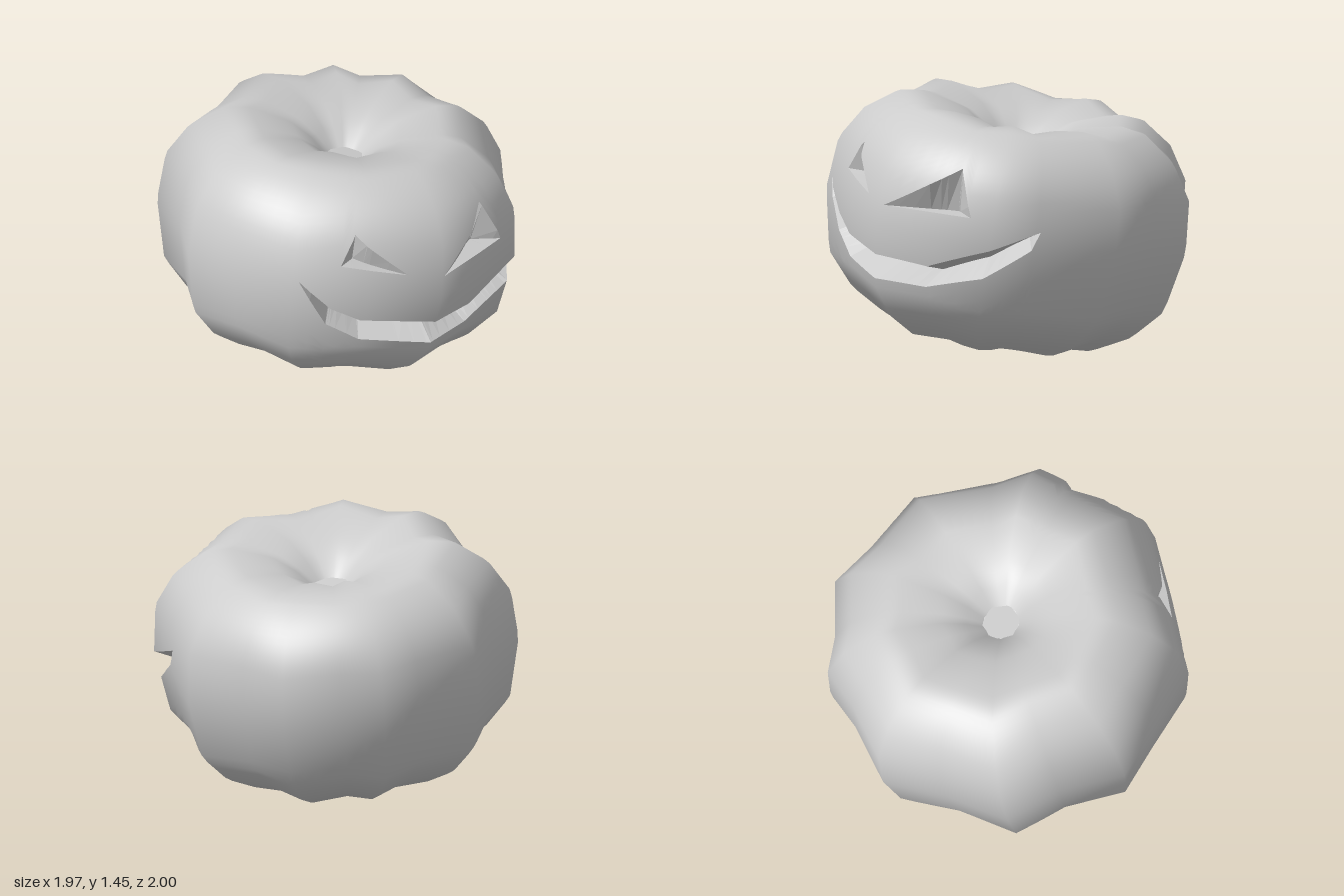
import * as THREE from 'three';

// Plan outline [x, z] round the core: lobe crests (even) and grooves (odd)
const PLAN = [
  [0.98, -0.25], [0.955, 0.08], [0.92, 0.44], [0.61, 0.7], [0.26, 0.97], [-0.12, 0.94],
  [-0.43, 0.91], [-0.66, 0.62], [-0.92, 0.42], [-0.93, 0.04], [-0.98, -0.32], [-0.75, -0.6],
  [-0.62, -0.82], [-0.4, -0.88], [-0.1, -1.03], [0.18, -0.93], [0.54, -0.84], [0.8, -0.45],
];
// Side profile rows: [radius factor, height from the middle, groove offset]
const PROFILE = [
  [0, -0.6, 0], [0.3, -0.63, 0], [0.57, -0.636, 0.02], [0.78, -0.515, 0.025], [0.936, -0.335, 0.015],
  [1.005, 0.02, 0], [0.98, 0.31, 0], [0.865, 0.5, -0.015], [0.69, 0.63, -0.035],
  [0.552, 0.65, -0.045], [0.32, 0.595, -0.035], [0.19, 0.51, -0.02], [0.1, 0.42, 0],
];
// Carved outlines: [azimuth in degrees from +x to +z, height]
const MOUTH_LOW = [[-31, 0.8], [-28.5, 0.7], [-13.4, 0.55], [6.8, 0.48], [26.8, 0.51], [50.8, 0.57], [63.2, 0.69], [72.9, 0.98]];
const MOUTH_UP = [[-31, 0.8], [6.8, 0.6], [28.3, 0.655], [51.1, 0.7], [61.7, 0.79], [72.9, 0.98]];
const EYE_LOW = [[-6.7, 0.89], [24.4, 0.93], [36.1, 0.965], [59.6, 1.05]];
const EYE_UP = [[-6.7, 0.89], [0.5, 1.15], [24.4, 0.93], [36.1, 0.965], [55.3, 1.21], [59.6, 1.05]];

const N = PLAN.length, M = PROFILE.length;

// The pumpkin leans back on its base
const tilt = (g) => g.rotateX(-0.161).translate(0, 0.73, 0.03);

// Coarse lobed grid whose smooth normals are shared by the finer skin
function makeBase() {
  const pos = [], idx = [];
  PLAN.forEach(([x, z], i) => PROFILE.forEach(([r, h, groove], j) => {
    pos.push(x * r, h + (i % 2) * groove, z * r);
    if (j < M - 1) {
      const a = i * M + j, b = ((i + 1) % N) * M + j;
      idx.push(a, a + 1, b, b, a + 1, b + 1);
    }
  }));
  const g = new THREE.BufferGeometry();
  g.setAttribute('position', new THREE.Float32BufferAttribute(pos, 3));
  g.setIndex(idx);
  g.computeVertexNormals();
  return tilt(g);
}

// Bilinear sample of an attribute at column u, row v
function sample(attr, u, v) {
  const i = Math.floor(u) % N, j = Math.min(Math.floor(v), M - 2);
  const s = u - Math.floor(u), t = v - j;
  const at = (c, r) => new THREE.Vector3().fromBufferAttribute(attr, (c % N) * M + r);
  return at(i, j).lerp(at(i + 1, j), s).lerp(at(i, j + 1).lerp(at(i + 1, j + 1), s), t);
}

// Column position where a ray at this azimuth crosses the plan outline
function columnAt(deg) {
  const a = THREE.MathUtils.degToRad(deg), dx = Math.cos(a), dz = Math.sin(a);
  for (let i = 0; i < N; i++) {
    const A = PLAN[i], B = PLAN[(i + 1) % N];
    const ca = A[0] * dz - A[1] * dx, cb = B[0] * dz - B[1] * dx;
    if (ca >= 0 && cb < 0 && A[0] * dx + A[1] * dz > 0) return i + ca / (ca - cb);
  }
  return 0;
}

// Azimuth of a column on the plan outline
function azimuthOf(u) {
  const i = Math.floor(u), s = u - i, A = PLAN[i], B = PLAN[(i + 1) % N];
  const { lerp, radToDeg } = THREE.MathUtils;
  return radToDeg(Math.atan2(lerp(A[1], B[1], s), lerp(A[0], B[0], s)));
}

// Height of a carved outline at an azimuth, wrapping round the back
function heightAt(line, deg) {
  const first = line[0][0];
  const a = THREE.MathUtils.euclideanModulo(deg - first, 360) + first;
  const pts = [...line, [first + 360, line[0][1]]];
  const k = Math.max(1, pts.findIndex((p) => p[0] >= a));
  const [p, q] = [pts[k - 1], pts[k]];
  return p[1] + (q[1] - p[1]) * (a - p[0]) / (q[0] - p[0]);
}

export function createModel() {
  const group = new THREE.Group();
  group.name = 'carvedPumpkin';
  const material = new THREE.MeshStandardMaterial({ color: 0xcccccc, side: THREE.DoubleSide });
  material.name = 'paleGrey';
  const base = makeBase();
  const P = base.attributes.position, NM = base.attributes.normal;

  const rowAt = (u, y) => {
    let lo = 2, hi = 8;
    for (let k = 0; k < 30; k++) {
      const mid = (lo + hi) / 2;
      if (sample(P, u, mid).y < y) lo = mid; else hi = mid;
    }
    return (lo + hi) / 2;
  };

  // Columns: even steps plus every carved corner
  const us = [];
  for (let i = 0; i < N * 4; i++) us.push(i / 4);
  [MOUTH_LOW, MOUTH_UP, EYE_LOW, EYE_UP].forEach((l) => l.forEach(([a]) => us.push(columnAt(a))));
  us.sort((a, b) => a - b);
  const columns = us.filter((u, i) => i === 0 || u - us[i - 1] > 1e-5).map((u) => {
    const deg = azimuthOf(u);
    const rows = [MOUTH_LOW, MOUTH_UP, EYE_LOW, EYE_UP].map((l) => rowAt(u, heightAt(l, deg)));
    rows[1] = Math.max(rows[0], rows[1]);
    rows[3] = Math.max(rows[2], rows[3]);
    return { u, v: [0, ...rows, M - 1] };
  });
  columns.push(columns[0]);

  // Skin in three bands: below the mouth, between mouth and eyes, above the eyes
  const bands = [['lowerBody', 0, 24], ['middleBody', 2, 12], ['upperBody', 4, 30]];
  for (const [name, b, steps] of bands) {
    const pos = [], nor = [], idx = [];
    columns.forEach(({ u, v }, i) => {
      for (let j = 0; j <= steps; j++) {
        const row = v[b] + (v[b + 1] - v[b]) * j / steps;
        pos.push(...sample(P, u, row).toArray());
        nor.push(...sample(NM, u, row).normalize().toArray());
        if (i < columns.length - 1 && j < steps) {
          const a = i * (steps + 1) + j, c = a + steps + 1;
          idx.push(a, a + 1, c, c, a + 1, c + 1);
        }
      }
    });
    const g = new THREE.BufferGeometry();
    g.setAttribute('position', new THREE.Float32BufferAttribute(pos, 3));
    g.setAttribute('normal', new THREE.Float32BufferAttribute(nor, 3));
    g.setIndex(idx);
    const mesh = new THREE.Mesh(g, material);
    mesh.name = name;
    group.add(mesh);
  }

  // Carved recesses: a sill from the lower edge and a wall up to the upper edge
  const carve = (name, b, frac, slope, maxDepth) => {
    const pos = [];
    const lines = columns.map(({ u, v }) => {
      const low = sample(P, u, v[b]), up = sample(P, u, v[b + 1]);
      const gap = low.distanceTo(up);
      const inward = new THREE.Vector3(low.x, 0, low.z).normalize();
      const inner = low.clone().lerp(up, frac).addScaledVector(inward, -Math.min(maxDepth, gap * slope));
      return { pts: [low, inner, up], gap };
    });
    for (let i = 0; i < lines.length - 1; i++) {
      const L = lines[i], R = lines[i + 1];
      if (L.gap < 1e-3 && R.gap < 1e-3) continue;
      for (let k = 0; k < 2; k++) {
        const [a, c, d, e] = [L.pts[k], L.pts[k + 1], R.pts[k], R.pts[k + 1]];
        for (const p of [a, c, d, d, c, e]) pos.push(p.x, p.y, p.z);
      }
    }
    const g = new THREE.BufferGeometry();
    g.setAttribute('position', new THREE.Float32BufferAttribute(pos, 3));
    g.computeVertexNormals();
    const mesh = new THREE.Mesh(g, material);
    mesh.name = name;
    group.add(mesh);
  };
  carve('mouthRecess', 1, 0.65, 1.5, 0.18);
  carve('eyeRecesses', 3, 0.02, 0.5, 0.12);

  // Flat floor where the stem was cut away
  const floorShape = new THREE.CircleGeometry(0.11, 6).rotateX(-Math.PI / 2).translate(0, 0.425, 0);
  const floor = new THREE.Mesh(tilt(floorShape), material);
  floor.name = 'stemHoleFloor';
  group.add(floor);

  return group;
}
